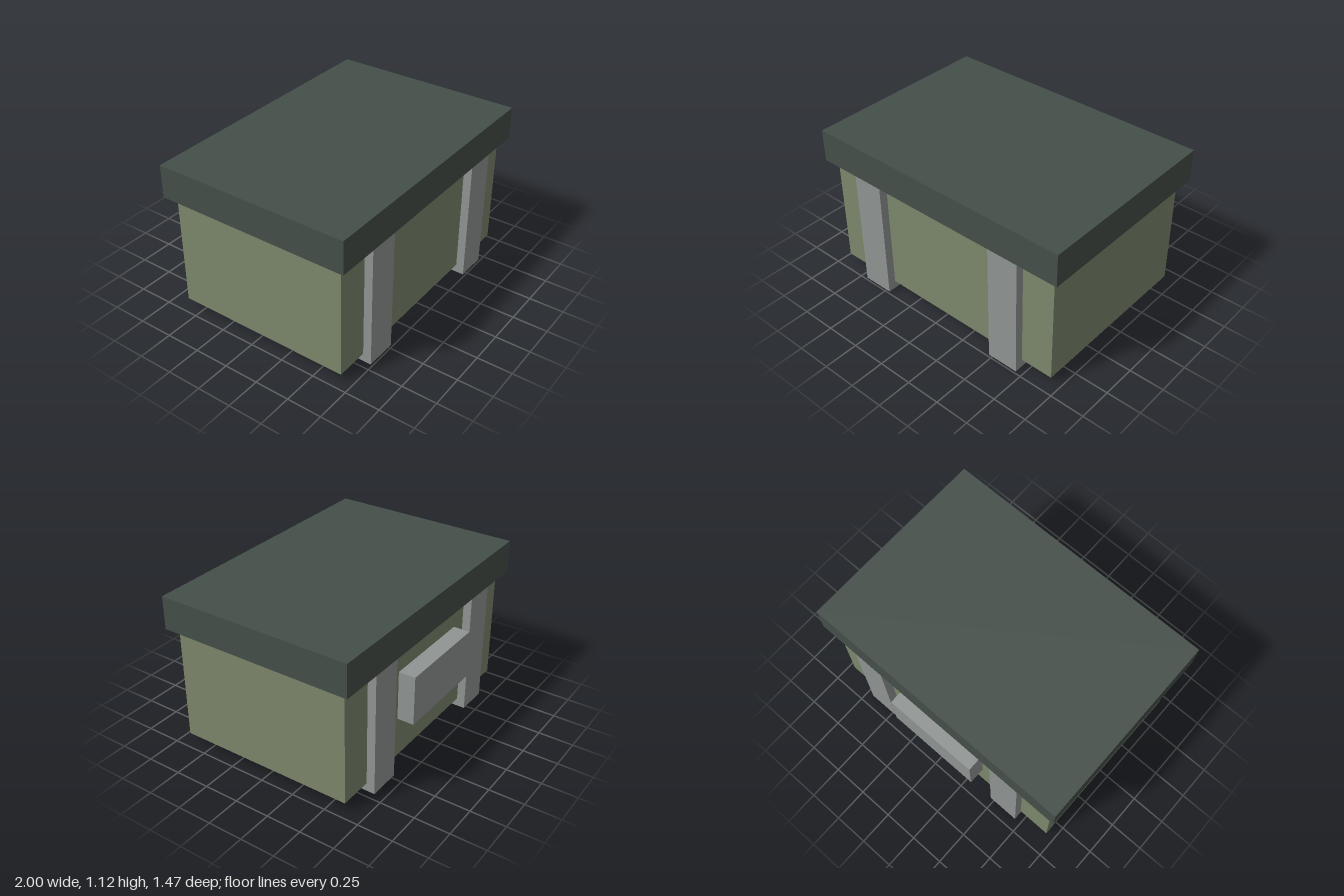
import * as THREE from 'three';

export function createModel() {
  const model = new THREE.Group();
  model.name = 'storageCrate';

  const material = (name, color) => {
    const m = new THREE.MeshStandardMaterial({ color });
    m.name = name;
    return m;
  };
  const olive = material('olive body', 0x7d876c);
  const darkGreen = material('dark green lid', 0x454f49);
  const grey = material('grey metal', 0x909593);

  // Box given by its extents along each axis
  const addBox = (name, mat, [x0, x1], [y0, y1], [z0, z1]) => {
    const mesh = new THREE.Mesh(new THREE.BoxGeometry(x1 - x0, y1 - y0, z1 - z0), mat);
    mesh.position.set((x0 + x1) / 2, (y0 + y1) / 2, (z0 + z1) / 2);
    mesh.name = name;
    model.add(mesh);
  };

  addBox('body', olive, [-0.94, 0.94], [0.06, 0.9], [-0.615, 0.675]);
  addBox('lid', darkGreen, [-1, 1], [0.885, 1.12], [-0.675, 0.735]);

  // U-shaped straps passing under the body, ending beneath the lid
  const strap = new THREE.Shape();
  [[-0.675, 0], [0.735, 0], [0.735, 0.885], [0.675, 0.885],
    [0.675, 0.06], [-0.615, 0.06], [-0.615, 0.885], [-0.675, 0.885]]
    .forEach(([z, y], i) => (i ? strap.lineTo(-z, y) : strap.moveTo(-z, y)));
  const strapWidth = 0.23;
  const strapGeometry = new THREE.ExtrudeGeometry(strap, { depth: strapWidth, bevelEnabled: false });
  strapGeometry.translate(0, 0, -strapWidth / 2).rotateY(Math.PI / 2);
  for (const [name, side] of [['leftStrap', 1], ['rightStrap', -1]]) {
    const mesh = new THREE.Mesh(strapGeometry, grey);
    mesh.position.x = side * 0.586;
    mesh.name = name;
    model.add(mesh);
  }

  // Raised block on the back
  addBox('backPlate', grey, [-0.35, 0.35], [0.355, 0.71], [-0.735, -0.61]);

  return model;
}
